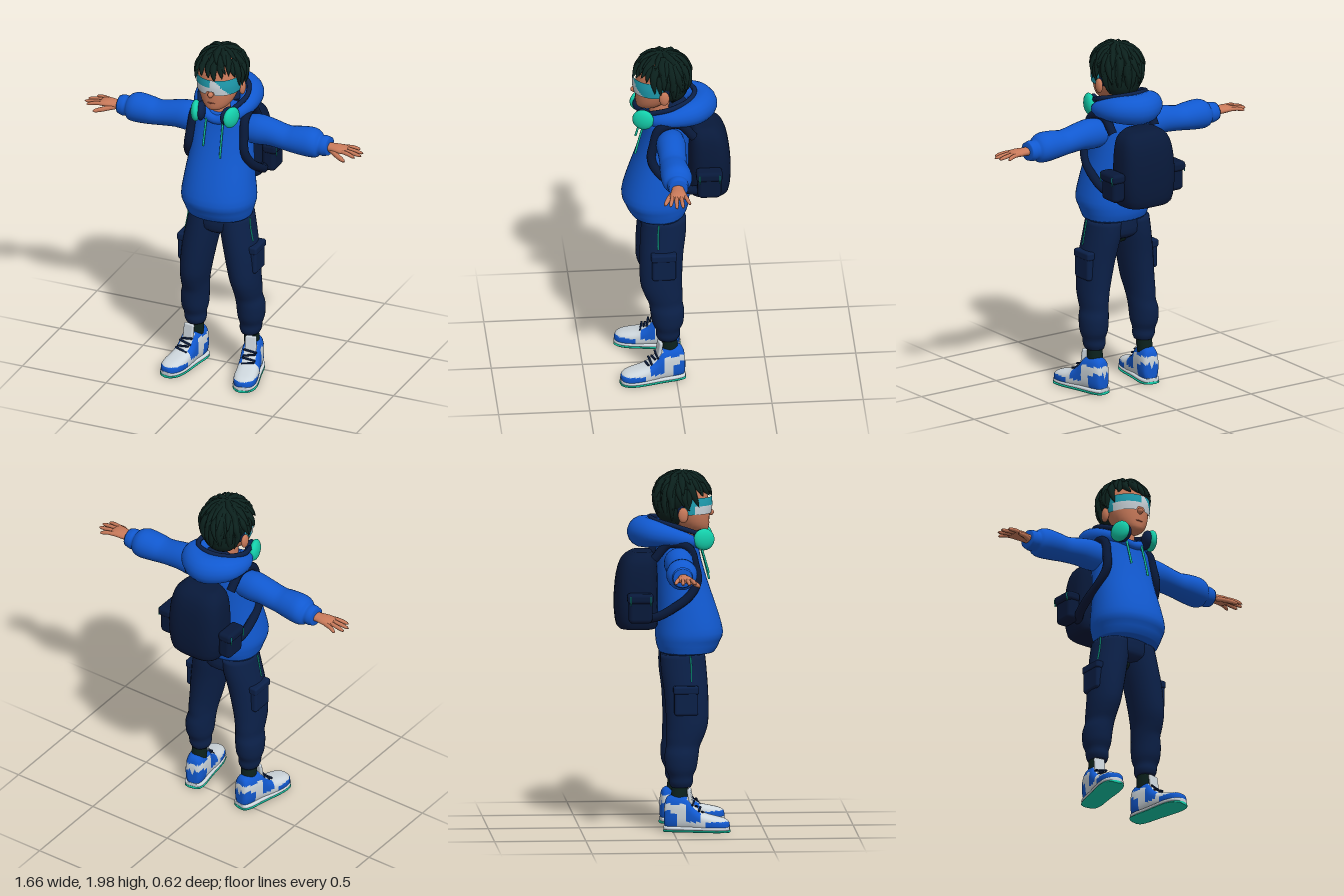
import * as THREE from 'three';
import { mergeGeometries } from 'three/addons/utils/BufferGeometryUtils.js';
import { RoundedBoxGeometry } from 'three/addons/geometries/RoundedBoxGeometry.js';

const mat = (name, color) => Object.assign(new THREE.MeshStandardMaterial({ color }), { name });
const V = (p) => new THREE.Vector3(...p);

// Catmull-Rom blend of four numbers
const blend = (a, b, c, d, t) =>
  0.5 * (2 * b + (c - a) * t + (2 * a - 5 * b + 4 * c - d) * t * t + (3 * b - a - 3 * c + d) * t ** 3);

// Skin over rings [y, centreX, centreZ, radiusX, radiusZ], listed upwards; e < 1 squares the section.
// paint(x, y, z) picks a material index for each face.
function loft(rings, { n = 28, sub = 3, e = 1, cap = true, paint = () => 0 } = {}) {
  const rows = [], pos = [], sets = [];
  const at = (i) => rings[Math.min(Math.max(i, 0), rings.length - 1)];
  for (let i = 0; i < rings.length - 1; i++)
    for (let s = 0; s < sub; s++)
      rows.push(rings[i].map((_, k) => blend(at(i - 1)[k], at(i)[k], at(i + 1)[k], at(i + 2)[k], s / sub)));
  rows.push(at(rings.length));
  const pw = (v) => Math.sign(v) * Math.abs(v) ** e;
  for (const [y, cx, cz, rx, rz] of rows)
    for (let i = 0; i < n; i++) {
      const a = (i / n) * Math.PI * 2;
      pos.push(cx + rx * pw(Math.cos(a)), y, cz + rz * pw(Math.sin(a)));
    }
  const last = rows.length - 1, bottom = pos.length / 3;
  for (const r of [rows[0], rows[last]]) pos.push(r[1], r[0], r[2]);
  const face = (...ids) => {
    const c = [0, 1, 2].map((k) => ids.reduce((sum, id) => sum + pos[id * 3 + k], 0) / ids.length);
    const m = paint(...c);
    (sets[m] ??= []).push(ids[0], ids[1], ids[2]);
    if (ids.length > 3) sets[m].push(ids[2], ids[1], ids[3]);
  };
  for (let i = 0; i < n; i++) {
    const k = (i + 1) % n;
    for (let j = 0; j < last; j++) face(j * n + i, (j + 1) * n + i, j * n + k, (j + 1) * n + k);
    if (cap) {
      face(bottom, i, k);
      face(bottom + 1, last * n + k, last * n + i);
    }
  }
  const g = new THREE.BufferGeometry(), index = [];
  g.setAttribute('position', new THREE.Float32BufferAttribute(pos, 3));
  sets.forEach((set, m) => { g.addGroup(index.length, set.length, m); index.push(...set); });
  g.setIndex(index);
  g.computeVertexNormals();
  return g;
}

// Tube through points whose radius follows radius(t, point)
function tube(points, radius, { seg = 24, radial = 8, closed = false } = {}) {
  const curve = new THREE.CatmullRomCurve3(points.map(V), closed);
  const g = new THREE.TubeGeometry(curve, seg, 1, radial, closed);
  const p = g.attributes.position, v = new THREE.Vector3();
  for (let i = 0; i < p.count; i++) {
    const t = Math.floor(i / (radial + 1)) / seg, c = curve.getPointAt(t);
    v.fromBufferAttribute(p, i).sub(c).multiplyScalar(radius(t, c)).add(c);
    p.setXYZ(i, v.x, v.y, v.z);
  }
  return g;
}
const rounded = (r) => (t) => r * Math.sqrt(Math.max(0, 1 - t ** 6));
const ball = (x, y, z, rx, ry, rz) => new THREE.SphereGeometry(1, 24, 16).scale(rx, ry, rz).translate(x, y, z);
const box = (x, y, z, w, h, d, r = 0.015) => new RoundedBoxGeometry(w, h, d, 3, r).translate(x, y, z);

function mirrored(geo) {
  const g = geo.clone().scale(-1, 1, 1);
  if (!g.index) g.setIndex([...Array(g.attributes.position.count).keys()]);
  const a = g.index.array;
  for (let i = 0; i < a.length; i += 3) [a[i + 1], a[i + 2]] = [a[i + 2], a[i + 1]];
  return g;
}

export function createModel() {
  const blue = mat('hoodieBlue', 0x1159d0), navy = mat('navyCloth', 0x0b2048), pack = mat('packNavy', 0x08193a);
  const dark = mat('darkHair', 0x0b211d), skin = mat('skin', 0xc97a5a), lip = mat('lip', 0xa85a45);
  const teal = mat('teal', 0x14cfab), cyan = mat('visorCyan', 0x1f9fb2), white = mat('white', 0xcdd6dc);
  const model = new THREE.Group();
  model.name = 'hoodedTraveller';
  const add = (name, geo, m) => {
    const mesh = new THREE.Mesh(geo, m);
    mesh.name = name;
    model.add(mesh);
  };
  const pair = (name, geo, m) => {
    add(name + 'Left', geo, m);
    add(name + 'Right', mirrored(geo), m);
  };

  // Head
  add('head', loft([[1.628, 0, 0.15, 0.02, 0.03], [1.642, 0, 0.14, 0.055, 0.063], [1.68, 0, 0.12, 0.09, 0.09],
    [1.74, 0, 0.1, 0.113, 0.112], [1.8, 0, 0.09, 0.12, 0.118], [1.87, 0, 0.08, 0.116, 0.112],
    [1.93, 0, 0.07, 0.085, 0.085], [1.955, 0, 0.07, 0.02, 0.02]]), skin);
  add('neck', loft([[1.54, 0, 0.07, 0.06, 0.065], [1.6, 0, 0.075, 0.052, 0.058], [1.69, 0, 0.08, 0.052, 0.055]]), skin);
  add('nose', ball(0, 1.738, 0.215, 0.015, 0.018, 0.022), skin);
  add('mouth', ball(0, 1.683, 0.207, 0.022, 0.005, 0.006), lip);
  pair('ear', ball(0.122, 1.738, 0.06, 0.016, 0.042, 0.028), skin);

  // Wraparound visor with a two-tone lens and a strap
  const visor = loft([[1.738, 0, 0.095, 0.12, 0.128], [1.785, 0, 0.095, 0.124, 0.133], [1.83, 0, 0.095, 0.122, 0.13]], {
    n: 80, sub: 6, cap: false,
    paint: (x, y, z) => (z < 0.06 ? 2 : z < 0.125 || (x < 0 ? y > 1.787 : y > 1.74 + (0.1 - x) * 1.2) ? 1 : 0),
  });
  const vp = visor.attributes.position;
  for (let i = 0; i < vp.count; i++) // nose notch
    if (vp.getZ(i) > 0.1 && vp.getY(i) < 1.76 && Math.abs(vp.getX(i)) < 0.025) vp.setY(i, 1.76);
  add('visor', visor, [white, cyan, navy]);

  // Hair: a cap covered with swept, pointed locks
  let seed = 7;
  const rnd = () => (seed = (seed * 16807) % 2147483647) / 2147483647;
  const scalp = (th, phi, s) => [
    0.126 * s * Math.sin(th) * Math.sin(phi),
    1.835 + (th < Math.PI / 2 ? 0.122 : 0.16) * s * Math.cos(th),
    0.06 + 0.143 * s * Math.sin(th) * Math.cos(phi)];
  const hair = [ball(0, 1.84, 0.045, 0.13, 0.127, 0.13), ball(0, 1.765, 0.01, 0.11, 0.1, 0.092)];
  for (const [from, to, count] of [[0.05, 0.95, 9], [0.4, 1.35, 13], [0.8, 1.85, 18], [1.25, 2.3, 18], [1.7, 2.75, 16]])
    for (let i = 0; i < count; i++) {
      const phi = ((i + 0.6 * rnd()) / count) * Math.PI * 2 - Math.PI, side = Math.abs(phi);
      if ((from > 1.2 && side < 1.2) || (from > 1.6 && side < 1.8)) continue;
      const end = Math.min(to + 0.15 * rnd(), side < 1 ? 1.5 + 0.12 * rnd() : side < 1.7 ? 2.0 : 2.75);
      const swirl = 0.35 * (rnd() - 0.3), r = 0.026 + 0.008 * rnd();
      hair.push(tube([scalp(from, phi, 0.9), scalp((from + end) / 2, phi, 1.03), scalp(end, phi + swirl, 1.12 + 0.08 * rnd())],
        (t) => r * (1 - t) ** 0.7, { seg: 8, radial: 6 }));
    }
  add('hair', mergeGeometries(hair), dark);

  // Hoodie body with a gathered hem
  add('hoodieBody', loft([[0.975, 0, 0.087, 0.18, 0.152], [1.0, 0, 0.09, 0.188, 0.165], [1.03, 0, 0.093, 0.197, 0.175],
    [1.085, 0, 0.1, 0.209, 0.186], [1.2, 0, 0.088, 0.196, 0.168], [1.35, 0, 0.06, 0.177, 0.145],
    [1.48, 0, 0.04, 0.172, 0.127], [1.55, 0, 0.037, 0.16, 0.116], [1.59, 0, 0.045, 0.11, 0.095],
    [1.6, 0, 0.05, 0.07, 0.07]], { n: 40, e: 0.92 }), blue);
  add('hood', tube([[0, 1.555, 0.145], [0.09, 1.585, 0.115], [0.13, 1.615, 0.02], [0.1, 1.635, -0.1], [0, 1.635, -0.155],
    [-0.1, 1.635, -0.1], [-0.13, 1.615, 0.02], [-0.09, 1.585, 0.115]],
    (t, p) => 0.085 - (0.058 * (p.z + 0.155)) / 0.3, { seg: 56, radial: 18, closed: true }), blue);
  add('hoodLining', ball(0, 1.635, -0.04, 0.11, 0.02, 0.075), navy);
  add('drawstringLeft', tube([[0.05, 1.565, 0.16], [0.053, 1.46, 0.19], [0.055, 1.36, 0.215]], () => 0.006), teal);
  add('drawstringRight', tube([[-0.05, 1.565, 0.16], [-0.05, 1.48, 0.185], [-0.05, 1.41, 0.205]], () => 0.006), teal);

  // Sleeves and hands, lofted upwards and turned sideways
  pair('sleeve', loft([[0.1, -1.48, 0.03, 0.07, 0.07], [0.2, -1.485, 0.03, 0.085, 0.081], [0.28, -1.483, 0.03, 0.077, 0.077],
    [0.38, -1.468, 0.032, 0.07, 0.075], [0.44, -1.468, 0.03, 0.077, 0.081], [0.52, -1.468, 0.025, 0.083, 0.085],
    [0.56, -1.463, 0.025, 0.073, 0.074], [0.577, -1.462, 0.025, 0.056, 0.058], [0.6, -1.462, 0.024, 0.058, 0.058],
    [0.63, -1.463, 0.023, 0.05, 0.052]]).rotateZ(-Math.PI / 2), blue);
  pair('palm', loft([[0.6, -1.463, 0.025, 0.024, 0.03], [0.64, -1.463, 0.028, 0.022, 0.034], [0.69, -1.465, 0.03, 0.021, 0.044],
    [0.725, -1.464, 0.03, 0.016, 0.045], [0.74, -1.463, 0.03, 0.007, 0.035]]).rotateZ(-Math.PI / 2), skin);
  for (const [name, z, tx, tz] of [['index', 0.06, 0.805, 0.082], ['middle', 0.04, 0.83, 0.048],
    ['ring', 0.018, 0.825, 0.012], ['little', -0.004, 0.79, -0.03]])
    pair(name + 'Finger', tube([[0.7, 1.466, z], [0.755, 1.464, (z + tz) / 2], [tx, 1.453, tz]], rounded(0.0115), { seg: 12 }), skin);
  pair('thumb', tube([[0.64, 1.455, 0.045], [0.7, 1.445, 0.083], [0.757, 1.432, 0.11]], rounded(0.014), { seg: 12 }), skin);

  // Headphones resting round the neck
  add('headphoneBand', tube([[0.095, 1.63, 0.15], [0.135, 1.675, 0.03], [0.09, 1.705, -0.08], [0, 1.715, -0.115],
    [-0.09, 1.705, -0.08], [-0.135, 1.675, 0.03], [-0.095, 1.63, 0.15]], () => 0.014, { seg: 40 }), navy);
  const cup = (x, r, w) => ball(x, 0, 0, w, r, r).rotateY(-0.3).translate(0.095, 1.602, 0.172);
  pair('headphoneCup', cup(0.012, 0.06, 0.028), teal);
  pair('headphonePad', cup(-0.016, 0.054, 0.026), navy);

  // Backpack
  add('backpack', loft([[1.105, 0, -0.18, 0.11, 0.08], [1.125, 0, -0.187, 0.15, 0.112], [1.25, 0, -0.193, 0.168, 0.118],
    [1.4, 0, -0.187, 0.162, 0.112], [1.49, 0, -0.175, 0.14, 0.092], [1.53, 0, -0.16, 0.09, 0.055]], { n: 40, e: 0.65 }), pack);
  pair('packSidePocket', box(0.195, 1.235, -0.18, 0.08, 0.16, 0.13, 0.025), pack);
  pair('packPocketFlap', box(0.202, 1.292, -0.18, 0.085, 0.055, 0.145, 0.02), pack);
  for (const z of [-0.125, -0.235]) pair('packPocketTrim', box(0.243, 1.282, z, 0.006, 0.05, 0.005, 0.002), teal);
  pair('shoulderStrap', tube([[0.14, 1.5, -0.1], [0.145, 1.585, -0.02], [0.15, 1.56, 0.09], [0.158, 1.47, 0.122],
    [0.168, 1.38, 0.135], [0.186, 1.3, 0.09], [0.195, 1.235, 0], [0.185, 1.19, -0.08], [0.15, 1.17, -0.15]],
    () => 0.025, { seg: 40, radial: 10 }), pack);

  // Cargo trousers
  add('trouserHips', loft([[0.865, 0, 0.065, 0.09, 0.09], [0.9, 0, 0.064, 0.17, 0.12], [0.99, 0, 0.062, 0.175, 0.122]]), navy);
  add('crotchLining', ball(0, 0.862, 0.05, 0.035, 0.035, 0.06), dark);
  pair('trouserLeg', loft([[0.245, 0.163, 0.045, 0.05, 0.055], [0.27, 0.165, 0.045, 0.06, 0.065], [0.305, 0.167, 0.045, 0.062, 0.066],
    [0.35, 0.168, 0.045, 0.074, 0.085], [0.42, 0.166, 0.048, 0.077, 0.093], [0.47, 0.158, 0.056, 0.073, 0.093],
    [0.52, 0.156, 0.067, 0.076, 0.104], [0.6, 0.147, 0.08, 0.084, 0.115], [0.75, 0.125, 0.077, 0.094, 0.12],
    [0.88, 0.1, 0.065, 0.097, 0.125], [0.97, 0.085, 0.06, 0.096, 0.122]]), navy);
  pair('cargoPocket', box(0.213, 0.72, 0.07, 0.045, 0.15, 0.13), navy);
  pair('cargoPocketFlap', box(0.212, 0.785, 0.07, 0.054, 0.045, 0.14, 0.012), navy);
  pair('hipPiping', tube([[0.182, 0.97, 0.095], [0.19, 0.9, 0.1], [0.203, 0.83, 0.1]], () => 0.004), teal);

  // High-top trainers, lofted heel to toe and turned out
  pair('sock', loft([[0.15, 0.167, 0.03, 0.042, 0.045], [0.27, 0.165, 0.042, 0.042, 0.045]]), dark);
  const last = [[0, 0, -0.085, 0.025, 0.05], [0.012, 0, -0.1, 0.044, 0.088], [0.05, 0, -0.105, 0.054, 0.1],
    [0.1, 0, -0.103, 0.056, 0.098], [0.135, 0, -0.095, 0.057, 0.09], [0.17, 0, -0.072, 0.059, 0.067],
    [0.22, 0, -0.055, 0.063, 0.05], [0.28, 0, -0.047, 0.064, 0.042], [0.325, 0, -0.042, 0.054, 0.036],
    [0.35, 0, -0.037, 0.034, 0.028], [0.358, 0, -0.036, 0.015, 0.015]];
  const place = (g) => g.rotateY(0.2).translate(0.158, 0, -0.045);
  const shoeLoft = (rings, opts) => place(loft(rings, opts).rotateX(Math.PI / 2));
  const sole = (lo, hi, grow) => last.map(([s, x, , rx]) => [(s - 0.18) * (1 + grow) + 0.18, x, -(lo + hi) / 2, rx + 0.004, (hi - lo) / 2]);
  pair('shoeUpper', shoeLoft(last, {
    n: 48, sub: 4, e: 0.75,
    paint: (x, s, z) => {
      const h = -z, toe = s > 0.24 && h < 0.062, heel = s < 0.075 && h < 0.115, collar = h > 0.158 && s < 0.13;
      const eyelets = s > 0.13 && s < 0.21 && h > 0.06 && Math.abs(x) > 0.034;
      return toe || heel || collar || eyelets ? 1 : 0;
    },
  }), [white, blue]);
  pair('shoeMidsole', shoeLoft(sole(0.01, 0.034, 0.01), { e: 0.6 }), white);
  pair('shoeOutsole', shoeLoft(sole(0, 0.014, 0.02), { e: 0.6 }), teal);
  pair('shoeTongue', place(box(0, 0, 0, 0.064, 0.1, 0.02, 0.009).rotateX(-0.15).translate(0, 0.19, 0.142)), white);
  for (let i = 0; i < 4; i++)
    pair('shoeLace', place(box(0, 0, 0, 0.078, 0.011, 0.012, 0.005).rotateZ(i % 2 ? 0.2 : -0.2)
      .translate(0, 0.157 - i * 0.016, 0.158 + i * 0.018)), pack);
  return model;
}
